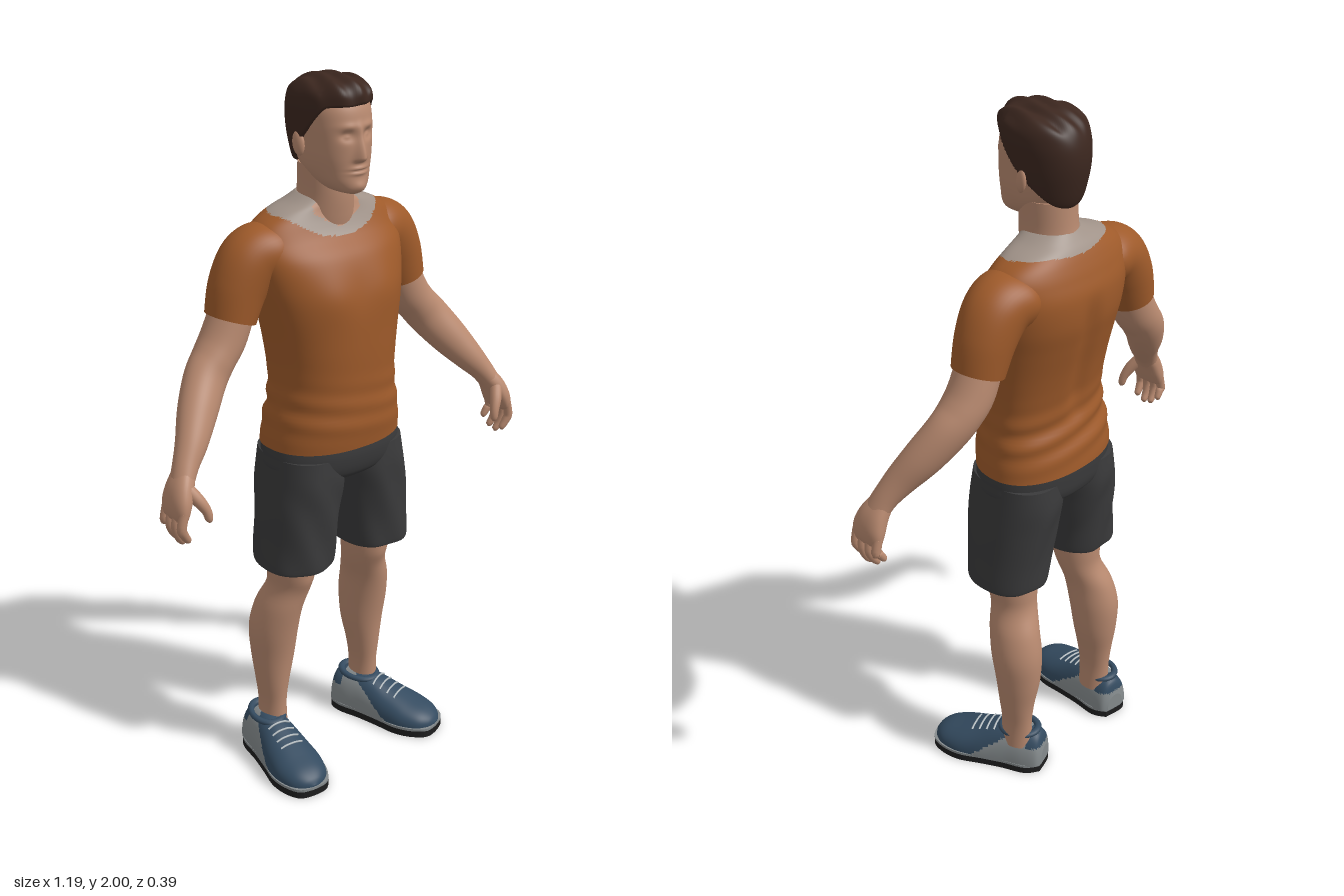
import * as THREE from 'three';

const mat = (name, color) => Object.assign(new THREE.MeshStandardMaterial({ color }), { name });
const V = (x, y, z) => new THREE.Vector3(x, y, z);
const X = V(1, 0, 0), Y = V(0, 1, 0), Z = V(0, 0, 1);
const bell = (d, width) => Math.exp(-(d * d) / (width * width));
const ramp = THREE.MathUtils.smoothstep;

// Smooth blend between rows of numbers
function sample(rows, t) {
  const n = rows.length - 1, i = Math.min(Math.floor(t * n), n - 1), k = t * n - i;
  const at = (j) => rows[Math.max(0, Math.min(n, j))];
  return rows[0].map((_, c) => {
    const [a, b, d, e] = [at(i - 1)[c], at(i)[c], at(i + 1)[c], at(i + 2)[c]];
    return b + 0.5 * k * (d - a + k * (2 * a - 5 * b + 4 * d - e + k * (3 * (b - d) + e - a)));
  });
}

// Skin over cross-sections. Row: x, y, z, half width, front depth, back depth.
// axis fixes the ring direction, otherwise the rings follow the path.
function loft(name, material, table, o = {}) {
  const { seg = 40, rings = 40, axis, up = Z, pow = 2, shape, paint, side = 1 } = o;
  const rows = table.map(([x, y, z, w, f = w, b = f]) => [x * side, y, z, w, f, b]);
  const pos = [], faces = [[], [], []];
  for (let i = 0; i <= rings; i++) {
    const t = i / rings, [x, y, z, w, f, b] = sample(rows, t);
    const path = (s) => V(...sample(rows, THREE.MathUtils.clamp(s, 0, 1)).slice(0, 3));
    const dir = axis ? axis.clone() : path(t + 0.01).sub(path(t - 0.01)).normalize();
    const v = up.clone().addScaledVector(dir, -dir.dot(up)).normalize(), u = dir.clone().cross(v);
    for (let j = 0; j < seg; j++) {
      const a = (j / seg) * Math.PI * 2, c = Math.cos(a), s = Math.sin(a);
      const p = V(x, y, z)
        .addScaledVector(u, Math.sign(c) * Math.abs(c) ** (2 / pow) * Math.max(w, 0.001))
        .addScaledVector(v, Math.sign(s) * Math.abs(s) ** (2 / pow) * Math.max(s > 0 ? f : b, 0.001));
      if (shape) shape(p);
      pos.push(p.x, p.y, p.z);
    }
  }
  const tri = (...ids) => {
    const mid = [0, 1, 2].map((k) => ids.reduce((sum, id) => sum + pos[id * 3 + k], 0) / 3);
    faces[paint ? paint(...mid) : 0].push(...ids);
  };
  for (let i = 0; i < rings; i++) for (let j = 0; j < seg; j++) {
    const a = i * seg + j, b = i * seg + (j + 1) % seg;
    tri(a, a + seg, b);
    tri(b, a + seg, b + seg);
  }
  // Flat caps with their own vertices
  for (const [ring, end] of [[0, 0], [rings, 1]]) {
    const start = pos.length / 3, centre = V(0, 0, 0);
    for (let j = 0; j < seg; j++) {
      const q = pos.slice((ring * seg + j) * 3, (ring * seg + j) * 3 + 3);
      centre.add(V(...q));
      pos.push(...q);
    }
    pos.push(...centre.divideScalar(seg).toArray());
    for (let j = 0; j < seg; j++) {
      const a = start + j, b = start + (j + 1) % seg;
      end ? tri(a, start + seg, b) : tri(a, b, start + seg);
    }
  }
  const g = new THREE.BufferGeometry();
  g.setAttribute('position', new THREE.Float32BufferAttribute(pos, 3));
  g.setIndex(faces.flat());
  let first = 0;
  if (paint) faces.forEach((list, m) => { g.addGroup(first, list.length, m); first += list.length; });
  g.computeVertexNormals();
  const mesh = new THREE.Mesh(g, material);
  mesh.name = name;
  return mesh;
}

export function createModel() {
  const model = new THREE.Group();
  model.name = 'standingMan';
  const skin = mat('skin', 0xb98a70), shirt = mat('shirt orange', 0x9e5a2a), yoke = mat('collar grey', 0xa09288);
  const dark = mat('shorts charcoal', 0x3a3a3b), hair = mat('hair brown', 0x3c271f), blue = mat('shoe blue', 0x344b60);
  const grey = mat('shoe grey', 0x858b8d), black = mat('sole black', 0x1e1e1f), lace = mat('lace white', 0xb4bcc0);

  // Shirt body with grey collar and open neck
  model.add(loft('shirt', [shirt, yoke, skin], [
    [0, 1.015, -0.03, 0.208, 0.157, 0.137], [0, 1.08, -0.03, 0.2, 0.165, 0.13], [0, 1.15, -0.03, 0.188, 0.163, 0.113],
    [0, 1.22, -0.03, 0.184, 0.162, 0.112], [0, 1.31, -0.03, 0.193, 0.162, 0.128], [0, 1.4, -0.03, 0.208, 0.158, 0.15],
    [0, 1.47, -0.035, 0.222, 0.148, 0.16], [0, 1.54, -0.045, 0.232, 0.13, 0.15], [0, 1.59, -0.055, 0.228, 0.1, 0.125],
    [0, 1.625, -0.06, 0.205, 0.085, 0.105], [0, 1.652, -0.06, 0.16, 0.075, 0.09], [0, 1.672, -0.055, 0.105, 0.068, 0.08],
    [0, 1.69, -0.05, 0.07, 0.06, 0.07]], {
    seg: 112, rings: 84, axis: Y, pow: 2.25,
    shape: (p) => {
      if (p.z > 0) p.z += 0.007 * bell(Math.abs(p.x) - 0.09, 0.06) * bell(p.y - 1.45, 0.06);
      else p.z += 0.013 * bell(p.x, 0.03) * ramp(p.y, 1.12, 1.25) * (1 - ramp(p.y, 1.45, 1.56));
      const fold = 0.003 * Math.sin(95 * p.y + 14 * p.x) * bell(p.y - 1.13, 0.07);
      p.x *= 1 + fold * 3;
      p.z += Math.sign(p.z) * fold * (p.z < 0 ? 1.6 : 0.7);
    },
    paint: (x, y, z) => {
      if (z > 0 && Math.abs(x) < 0.075 && y > 1.608 + Math.abs(x) * 0.5) return 2;
      return y > 1.58 && (x / 0.165) ** 2 + ((z + 0.055) / 0.1) ** 2 < 1 ? 1 : 0;
    },
  }));

  // Hips of the shorts
  model.add(loft('shortsHips', dark, [
    [0, 0.9, -0.02, 0.06, 0.08, 0.08], [0, 0.925, -0.02, 0.16, 0.12, 0.125], [0, 0.95, -0.022, 0.206, 0.137, 0.137],
    [0, 0.99, -0.025, 0.207, 0.147, 0.138], [0, 1.03, -0.03, 0.202, 0.15, 0.133]], { axis: Y, pow: 2.3, seg: 64 }));

  // Neck, head and face
  model.add(loft('neck', skin, [
    [0, 1.58, -0.06, 0.085, 0.085, 0.07], [0, 1.64, -0.045, 0.077, 0.08, 0.085],
    [0, 1.7, -0.04, 0.071, 0.08, 0.08], [0, 1.77, -0.035, 0.072, 0.07, 0.08]], { axis: Y }));
  model.add(loft('head', skin, [
    [0, 1.706, 0.055, 0.018, 0.03, 0.03], [0, 1.715, 0.04, 0.042, 0.058, 0.06], [0, 1.735, 0.02, 0.062, 0.081, 0.09],
    [0, 1.765, 0, 0.076, 0.1, 0.1], [0, 1.8, 0, 0.083, 0.1, 0.125], [0, 1.84, 0, 0.086, 0.1, 0.135],
    [0, 1.88, 0, 0.088, 0.097, 0.138], [0, 1.92, 0, 0.086, 0.089, 0.132], [0, 1.95, 0, 0.075, 0.07, 0.115],
    [0, 1.975, 0, 0.04, 0.035, 0.08]], {
    seg: 128, rings: 90, axis: Y, pow: 2.15,
    shape: (p) => {
      if (p.z < 0.03) return;
      const ax = Math.abs(p.x);
      const nose = bell(p.x, 0.009 + 0.007 * ramp(1.87 - p.y, 0, 0.07)) * ramp(p.y, 1.786, 1.8);
      p.z += nose * (0.006 + 0.016 * (1 - ramp(p.y, 1.795, 1.872))) * (1 - ramp(p.y, 1.865, 1.9));
      p.z -= 0.012 * bell(ax - 0.032, 0.017) * bell(p.y - 1.857, 0.012);
      p.z += 0.006 * bell(ax - 0.032, 0.009) * bell(p.y - 1.855, 0.006);
      p.z += 0.004 * bell(ax - 0.03, 0.025) * bell(p.y - 1.88, 0.009);
      p.z += 0.005 * bell(p.x, 0.024) * (bell(p.y - 1.774, 0.005) + bell(p.y - 1.762, 0.005));
      p.z -= 0.004 * bell(p.x, 0.026) * bell(p.y - 1.768, 0.003);
      p.z += 0.005 * bell(p.x, 0.02) * bell(p.y - 1.728, 0.012);
    },
  }));

  // Hair shell, tucked under the skin in front of the hairline
  model.add(loft('hair', hair, [
    [0, 1.745, -0.05, 0.05, 0.04, 0.06], [0, 1.775, -0.04, 0.076, 0.06, 0.09], [0, 1.83, -0.03, 0.092, 0.11, 0.115],
    [0, 1.88, -0.03, 0.098, 0.128, 0.121], [0, 1.925, -0.03, 0.1, 0.13, 0.116], [0, 1.96, -0.03, 0.094, 0.13, 0.1],
    [0, 1.983, -0.025, 0.073, 0.108, 0.075], [0, 1.995, -0.02, 0.045, 0.07, 0.045], [0, 1.998, -0.02, 0.008, 0.01, 0.01]], {
    seg: 112, rings: 70, axis: Y, pow: 2.1,
    shape: (p) => {
      const line = p.y > 1.87 ? (p.y - 1.87) * 0.9 : (p.y - 1.87) * 1.1;
      const tuck = ramp(p.z, line, line + 0.014) * (1 - ramp(p.y, 1.924, 1.936 + p.x * 0.05));
      const scale = 1 - 0.26 * tuck;
      p.x *= scale;
      p.z = (p.z + 0.03) * scale - 0.03;
      const wave = Math.sin(p.x * 130 + 2 * Math.sin(p.z * 25)) * ramp(p.y, 1.92, 1.96);
      p.y += 0.003 * wave - 0.003 - 0.006 * bell(p.x - 0.04, 0.012) * ramp(p.y, 1.95, 1.98);
      if (p.z > 0.04) p.z += 0.003 * wave;
    },
  }));

  for (const side of [1, -1]) {
    const label = side > 0 ? 'left' : 'right';
    const add = (name, m, rows, o) => model.add(loft(label + name, m, rows, { side, ...o }));

    const ear = new THREE.Mesh(new THREE.SphereGeometry(1, 20, 14), skin);
    ear.name = label + 'Ear';
    ear.scale.set(0.01, 0.032, 0.018);
    ear.position.set(side * 0.092, 1.828, -0.033);
    ear.rotation.set(-0.15, side * -0.3, 0);
    model.add(ear);

    // Sleeve, arm and hand
    add('Sleeve', shirt, [
      [0.12, 1.55, -0.06, 0.06, 0.07, 0.09], [0.175, 1.555, -0.062, 0.078, 0.085, 0.1], [0.225, 1.535, -0.066, 0.085, 0.08, 0.09],
      [0.265, 1.475, -0.07, 0.079, 0.076, 0.08], [0.292, 1.395, -0.07, 0.068, 0.07, 0.072]], { seg: 48 });
    add('Arm', skin, [
      [0.275, 1.44, -0.07, 0.058, 0.06], [0.315, 1.35, -0.07, 0.061, 0.062], [0.352, 1.3, -0.065, 0.058, 0.06],
      [0.39, 1.255, -0.052, 0.06, 0.054], [0.44, 1.19, -0.018, 0.055, 0.05], [0.485, 1.13, 0.018, 0.044, 0.042],
      [0.52, 1.085, 0.04, 0.034, 0.036], [0.542, 1.05, 0.053, 0.029, 0.036]], { seg: 48 });
    add('Palm', skin, [
      [0.53, 1.07, 0.046, 0.026, 0.032], [0.552, 1.035, 0.056, 0.028, 0.044], [0.566, 1.0, 0.062, 0.026, 0.051],
      [0.573, 0.968, 0.064, 0.018, 0.049], [0.573, 0.958, 0.064, 0.008, 0.038]], { pow: 2.4, rings: 20 });
    for (let i = 0; i < 4; i++) {
      const z = 0.102 - i * 0.026, tip = [0.9, 0.887, 0.893, 0.915][i];
      add('Finger' + (i + 1), skin, [
        [0.572, 0.985, z, 0.013], [0.581, 0.945, z, 0.013], [0.574, tip + 0.025, z - 0.002, 0.012],
        [0.56, tip + 0.004, z - 0.005, 0.009], [0.556, tip, z - 0.006, 0.002]], { seg: 14, rings: 16 });
    }
    add('Thumb', skin, [
      [0.55, 1.045, 0.075, 0.018], [0.528, 1.01, 0.1, 0.017], [0.512, 0.98, 0.113, 0.013],
      [0.507, 0.955, 0.117, 0.01], [0.507, 0.946, 0.117, 0.002]], { seg: 16, rings: 18 });

    // Shorts leg and bare leg
    add('ShortsLeg', dark, [
      [0.138, 0.658, -0.015, 0.099, 0.11, 0.11], [0.138, 0.668, -0.015, 0.104, 0.116, 0.117], [0.13, 0.75, -0.017, 0.104, 0.122, 0.122],
      [0.119, 0.84, -0.02, 0.106, 0.13, 0.13], [0.108, 0.92, -0.022, 0.106, 0.135, 0.138], [0.102, 0.99, -0.025, 0.103, 0.132, 0.13]], {
      axis: Y, pow: 2.3, seg: 56,
      shape: (p) => { p.z += 0.003 * Math.sin(p.x * 60 + p.y * 25) * (1 - ramp(p.y, 0.85, 0.98)); },
    });
    add('Leg', skin, [
      [0.14, 0.09, -0.08, 0.04, 0.05], [0.175, 0.17, -0.08, 0.037, 0.05], [0.174, 0.24, -0.08, 0.046, 0.056],
      [0.17, 0.33, -0.08, 0.061, 0.066, 0.07], [0.169, 0.42, -0.075, 0.068, 0.077, 0.079], [0.16, 0.5, -0.06, 0.064, 0.078, 0.078],
      [0.139, 0.57, -0.04, 0.061, 0.072, 0.069], [0.136, 0.63, -0.03, 0.068, 0.078, 0.075], [0.138, 0.74, -0.02, 0.08, 0.085, 0.085],
    ].map((r, i) => (i ? r : [0.175, ...r.slice(1)])), {
      axis: Y, seg: 48,
      shape: (p) => { if (p.z > -0.03) p.z += 0.006 * bell(p.y - 0.595, 0.03) * bell(Math.abs(p.x) - 0.138, 0.03); },
    });

    // Shoe, built pointing along z and then turned outwards
    const shoe = new THREE.Group();
    shoe.name = label + 'Shoe';
    shoe.add(loft('shoeUpper', [blue, grey], [
      [0, 0.026, -0.163, 0.03, 0.05, 0.001], [0, 0.026, -0.15, 0.05, 0.095, 0.001], [0, 0.026, -0.11, 0.06, 0.107, 0.001],
      [0, 0.026, -0.06, 0.063, 0.11, 0.001], [0, 0.026, -0.015, 0.068, 0.1, 0.001], [0, 0.026, 0.04, 0.075, 0.078, 0.001],
      [0, 0.026, 0.1, 0.077, 0.058, 0.001], [0, 0.026, 0.15, 0.063, 0.042, 0.001], [0, 0.026, 0.178, 0.038, 0.025, 0.001],
      [0, 0.026, 0.19, 0.01, 0.008, 0.001]], {
      seg: 64, rings: 60, axis: Z, up: Y, pow: 2.3,
      paint: (x, y, z) => (z < 0.05 - (y - 0.03) * 1.3 && !(z < -0.12 && y > 0.09) ? 1 : 0),
    }));
    const collar = new THREE.Mesh(new THREE.TorusGeometry(0.045, 0.009, 10, 32), blue);
    collar.name = 'shoeCollar';
    collar.rotation.x = Math.PI / 2 + 0.08;
    collar.scale.y = 1.25;
    collar.position.set(0, 0.128, -0.082);
    shoe.add(collar);
    // Sole layers share one outline
    const half = [[0.035, -0.16], [0.06, -0.12], [0.064, -0.05], [0.072, 0.02], [0.081, 0.09], [0.068, 0.15], [0.036, 0.188]];
    const outline = [...half, ...half.map(([x, z]) => [-x, z]).reverse()].map(([x, z]) => new THREE.Vector2(x, z));
    const loop = new THREE.SplineCurve([...outline, outline[0]]).getPoints(70).slice(0, -1);
    for (const [name, m, top, depth] of [['sole', black, 0.021, 0.021], ['midsole', grey, 0.029, 0.008]]) {
      const g = new THREE.ExtrudeGeometry(new THREE.Shape(loop), { depth, bevelEnabled: false });
      g.rotateX(Math.PI / 2).translate(0, top, 0);
      const layer = new THREE.Mesh(g, m);
      layer.name = name;
      shoe.add(layer);
    }
    // Laces arched over the instep
    for (let i = 0; i < 4; i++) {
      const z = -0.012 + i * 0.024, h = 0.1 - i * 0.0098, w = 0.069 + i * 0.0025;
      const pts = [-1, -0.5, 0, 0.5, 1].map((k) => V(k * 0.036, 0.028 + h * (1 - Math.abs(k * 0.036 / w) ** 2.3) ** (1 / 2.3), z));
      const strand = new THREE.Mesh(new THREE.TubeGeometry(new THREE.CatmullRomCurve3(pts), 14, 0.003, 6), lace);
      strand.name = 'lace' + (i + 1);
      shoe.add(strand);
    }
    shoe.position.x = side > 0 ? 0.188 : -0.205;
    shoe.rotation.y = side > 0 ? 0.36 : -0.12;
    model.add(shoe);
  }
  return model;
}
